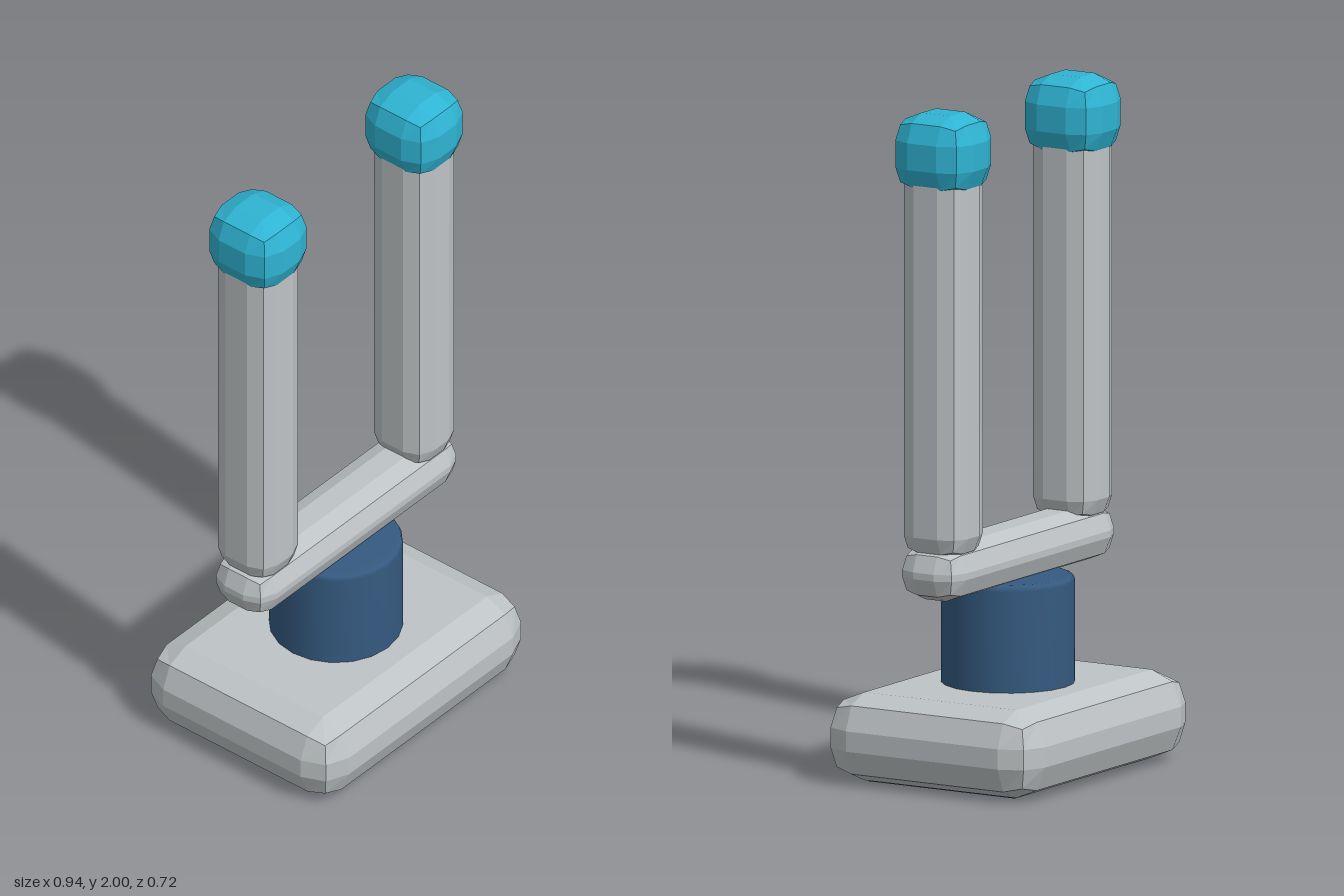
import * as THREE from 'three';
import { RoundedBoxGeometry } from 'three/addons/geometries/RoundedBoxGeometry.js';

const material = (name, color) => {
  const m = new THREE.MeshStandardMaterial({ color });
  m.name = name;
  return m;
};

export function createModel() {
  const model = new THREE.Group();
  model.name = 'uprightStand';

  const grey = material('light grey', 0xbec3c5);
  const navy = material('navy blue', 0x355a80);
  const teal = material('teal', 0x2fb4d3);

  const add = (name, geometry, mat, x, y, z = 0) => {
    const mesh = new THREE.Mesh(geometry, mat);
    mesh.name = name;
    mesh.position.set(x, y, z);
    model.add(mesh);
    return mesh;
  };

  // Faceted block: one step per rounded edge quarter, with flat normals
  const block = (w, h, d, r) => {
    const g = new RoundedBoxGeometry(w, h, d, 1, r);
    g.computeVertexNormals();
    return g;
  };

  // Base and crossbar
  add('base', block(0.94, 0.26, 0.72, 0.1), grey, 0, 0.134);
  add('crossbar', block(0.925, 0.16, 0.21, 0.07), grey, 0, 0.645);

  // Round column with a softened rim
  const profile = [[0.195, 0.2], [0.195, 0.562], [0.19, 0.575], [0.178, 0.58], [0, 0.58]]
    .map(([x, y]) => new THREE.Vector2(x, y));
  add('column', new THREE.LatheGeometry(profile, 20), navy, 0, 0);

  // Mirrored posts, caps and foot strips
  for (const [side, s] of [['left', 1], ['right', -1]]) {
    add(side + 'Post', block(0.195, 1.2, 0.21, 0.065), grey, s * 0.3525, 1.29);
    add(side + 'PostCap', block(0.235, 0.235, 0.255, 0.078), teal, s * 0.3525, 1.8825);
    add(side + 'FootStrip', new THREE.BoxGeometry(0.12, 0.009, 0.5), navy, s * 0.3, 0.0045);
  }

  return model;
}
